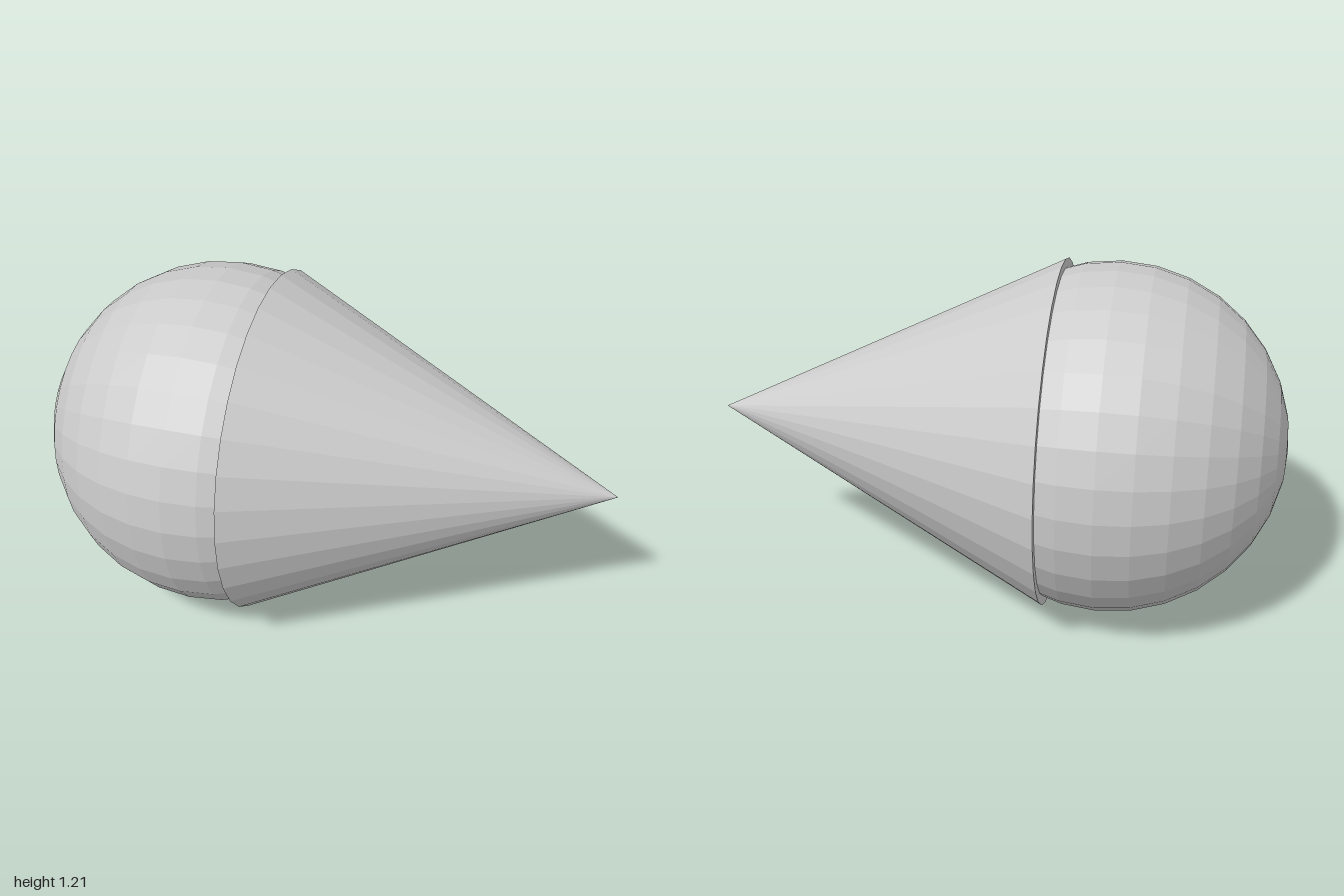
import * as THREE from 'three';

const R = 0.605; // shared radius of ball and cone
const SIDES = 32;

export function createModel() {
  const group = new THREE.Group();
  const material = new THREE.MeshStandardMaterial({ color: 0xcccccc, flatShading: true });

  // Both parts are turned so their axis runs along x, pointing to +x
  const add = (name, geometry, x) => {
    geometry.rotateZ(-Math.PI / 2);
    const mesh = new THREE.Mesh(geometry, material);
    mesh.name = name;
    mesh.position.set(x, R, 0);
    group.add(mesh);
  };

  // Faceted ball with its poles on the x axis
  add('ball', new THREE.SphereGeometry(R, SIDES, SIDES / 2), -1 + R);

  // Closed cone, as long as its base is wide, with its tip at x = 1
  add('cone', new THREE.ConeGeometry(R, 2 * R, SIDES), 1 - R);

  return group;
}
